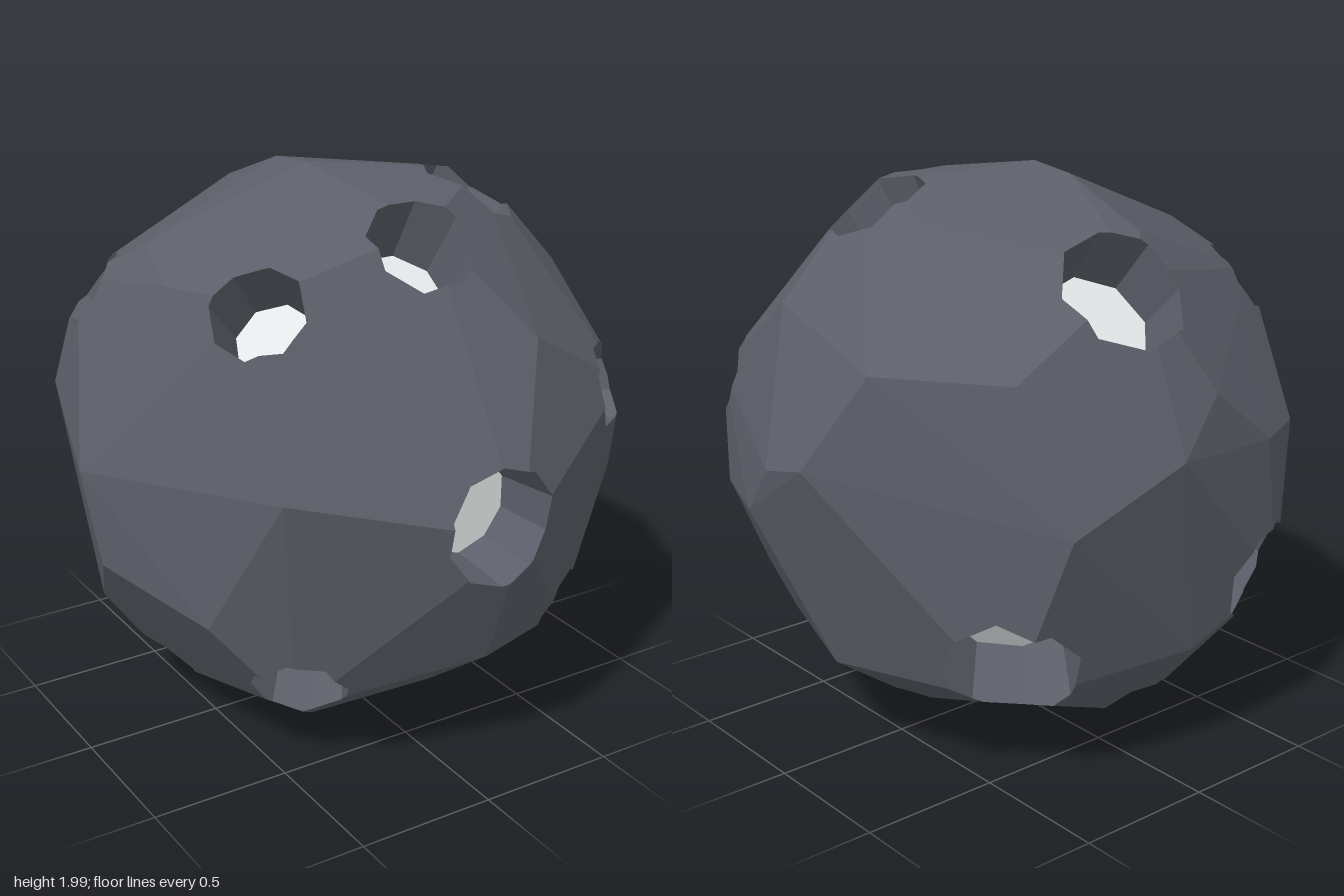
import * as THREE from 'three';
import { ConvexGeometry } from 'three/addons/geometries/ConvexGeometry.js';

const V = (x, y, z) => new THREE.Vector3(x, y, z);
const CENTRE = V(0, 1, 0);

// Recessed sockets: direction from the centre, opening radius, number of sides
const SOCKETS = [
  [0.04, -0.01, 1, 0.205, 10], [0.43, 0.88, 0.19, 0.185, 8], [0, 0.81, 0.53, 0.185, 8],
  [0.1, 0.7, -0.7, 0.225, 8], [-0.56, 0.67, 0.46, 0.16, 8], [-0.71, 0.54, -0.39, 0.15, 8],
  [0.69, 0.235, 0.625, 0.15, 8], [0.54, -0.555, -0.66, 0.235, 8], [-0.41, -0.345, -0.805, 0.19, 8],
  [-0.08, -0.85, -0.56, 0.17, 8], [-0.54, -0.78, -0.15, 0.165, 8], [0.28, -0.9, 0.15, 0.16, 8],
  [0.54, -0.58, 0.57, 0.16, 8], [-0.475, -0.62, 0.56, 0.17, 8],
].map(([x, y, z, radius, sides]) => ({ axis: V(x, y, z).normalize(), radius, sides }));

// Corners of the faceted ball that lie between the sockets
const CORNERS = [
  [-0.1, 1.99, -0.02], [-0.1, 1.97, -0.2], [-0.09, 1.83, -0.56], [0.48, 1.865, -0.18],
  [0.835, 1.46, -0.32], [0.98, 1.13, -0.14], [0.995, 1.09, 0.04], [0.98, 0.91, 0.18],
  [0.775, 1.58, 0.24], [0.83, 0.88, 0.55], [0.77, 0.35, 0], [0.1, 0.44, 0.83],
  [-0.64, 1.14, 0.75], [0.29, 1.53, 0.79], [-0.78, 0.64, 0.5], [-0.96, 0.75, 0.1],
  [-1, 1.08, 0.04], [-0.83, 0.475, -0.2], [0.17, 0, 0.06], [-0.3, 0.1, 0.35],
  [0.2, 0.09, 0.36], [-0.71, 1.69, 0.12], [-0.63, 1.75, -0.16], [-0.83, 1.18, -0.53],
  [-0.63, 1.13, -0.77], [-0.37, 1.15, -0.91], [-0.09, 1.37, -0.93], [0.1, 1.19, -0.985],
  [0.48, 0.99, -0.89], [0.555, 1.46, -0.7], [-0.11, 0.43, -0.83],
].map((p) => V(...p));

// Keep the part of a convex polygon on one side of a plane (side = 1 front, -1 back)
function clip(poly, plane, side) {
  const out = [];
  poly.forEach((a, i) => {
    const b = poly[(i + 1) % poly.length];
    const da = plane.distanceToPoint(a) * side, db = plane.distanceToPoint(b) * side;
    if (da >= 0) out.push(a);
    if ((da > 0 && db < 0) || (da < 0 && db > 0)) out.push(a.clone().lerp(b, da / (da - db)));
  });
  return out.length > 2 ? out : [];
}

// Cut a convex polygon by a socket and return the convex pieces left outside it
function subtract(poly, socket) {
  const pieces = [];
  let rest = poly;
  for (const plane of socket.planes) {
    const outside = clip(rest, plane, 1);
    if (outside.length) pieces.push(outside);
    rest = clip(rest, plane, -1);
    if (!rest.length) break;
  }
  return rest.length ? pieces : [poly];
}

// Flat-shaded geometry from convex polygons
function polygons(list) {
  const pos = [];
  for (const p of list)
    for (let i = 1; i < p.length - 1; i++)
      for (const v of [p[0], p[i], p[i + 1]]) pos.push(v.x, v.y, v.z);
  const geo = new THREE.BufferGeometry();
  geo.setAttribute('position', new THREE.Float32BufferAttribute(pos, 3));
  geo.computeVertexNormals();
  return geo;
}

// Ring of points around a socket's axis
function ring({ axis, sides }, distance, radius) {
  const turn = new THREE.Quaternion().setFromUnitVectors(V(0, 0, 1), axis);
  return Array.from({ length: sides }, (_, i) => {
    const a = ((i + 0.5) / sides) * Math.PI * 2;
    return V(Math.cos(a) * radius, Math.sin(a) * radius, distance).applyQuaternion(turn).add(CENTRE);
  });
}

export function createModel() {
  const group = new THREE.Group();
  const stone = new THREE.MeshStandardMaterial({ color: 0x5c5f69 });
  stone.name = 'dark slate';
  const pale = new THREE.MeshStandardMaterial({ color: 0xedeff0 });
  pale.name = 'pale grey';

  // Faceted ball, with a raised corner under every socket that the opening cuts off
  const tips = SOCKETS.map((s) => s.axis.clone().multiplyScalar(0.975 + s.radius * 0.5).add(CENTRE));
  const hull = new ConvexGeometry([...CORNERS, ...tips]).getAttribute('position');
  let shell = [];
  for (let i = 0; i < hull.count; i += 3)
    shell.push([0, 1, 2].map((k) => V().fromBufferAttribute(hull, i + k)));
  const hullPlanes = shell.map((t) => new THREE.Plane().setFromCoplanarPoints(...t));

  function add(name, list, material) {
    const mesh = new THREE.Mesh(polygons(list), material);
    mesh.name = name;
    group.add(mesh);
  }

  SOCKETS.forEach((socket, n) => {
    const floor = ring(socket, 0.75, socket.radius * 0.88);
    const top = ring(socket, 1.2, socket.radius * 1.125);
    const walls = floor.map((p, i) => {
      const j = (i + 1) % floor.length;
      return [p, top[i], top[j], floor[j]];
    });
    // Wall planes facing away from the axis
    socket.planes = walls.map((w) => {
      const plane = new THREE.Plane().setFromCoplanarPoints(w[0], w[1], w[2]);
      const inside = socket.axis.clone().multiplyScalar(0.9).add(CENTRE);
      return plane.distanceToPoint(inside) > 0 ? plane.negate() : plane;
    });
    // Open the shell on the socket's side of the ball only
    shell = shell.flatMap((poly) => {
      const mid = poly.reduce((s, v) => s.add(v), V()).divideScalar(poly.length).sub(CENTRE);
      return mid.dot(socket.axis) > 0.2 ? subtract(poly, socket) : [poly];
    });
    // Walls trimmed to the shell, and the pale floor
    const trimmed = walls
      .map((w) => hullPlanes.reduce((p, plane) => clip(p, plane, -1), w))
      .filter((p) => p.length);
    add(`socketWall${n + 1}`, trimmed, stone);
    add(`socketFloor${n + 1}`, [floor], pale);
  });

  add('facetedShell', shell, stone);
  return group;
}
